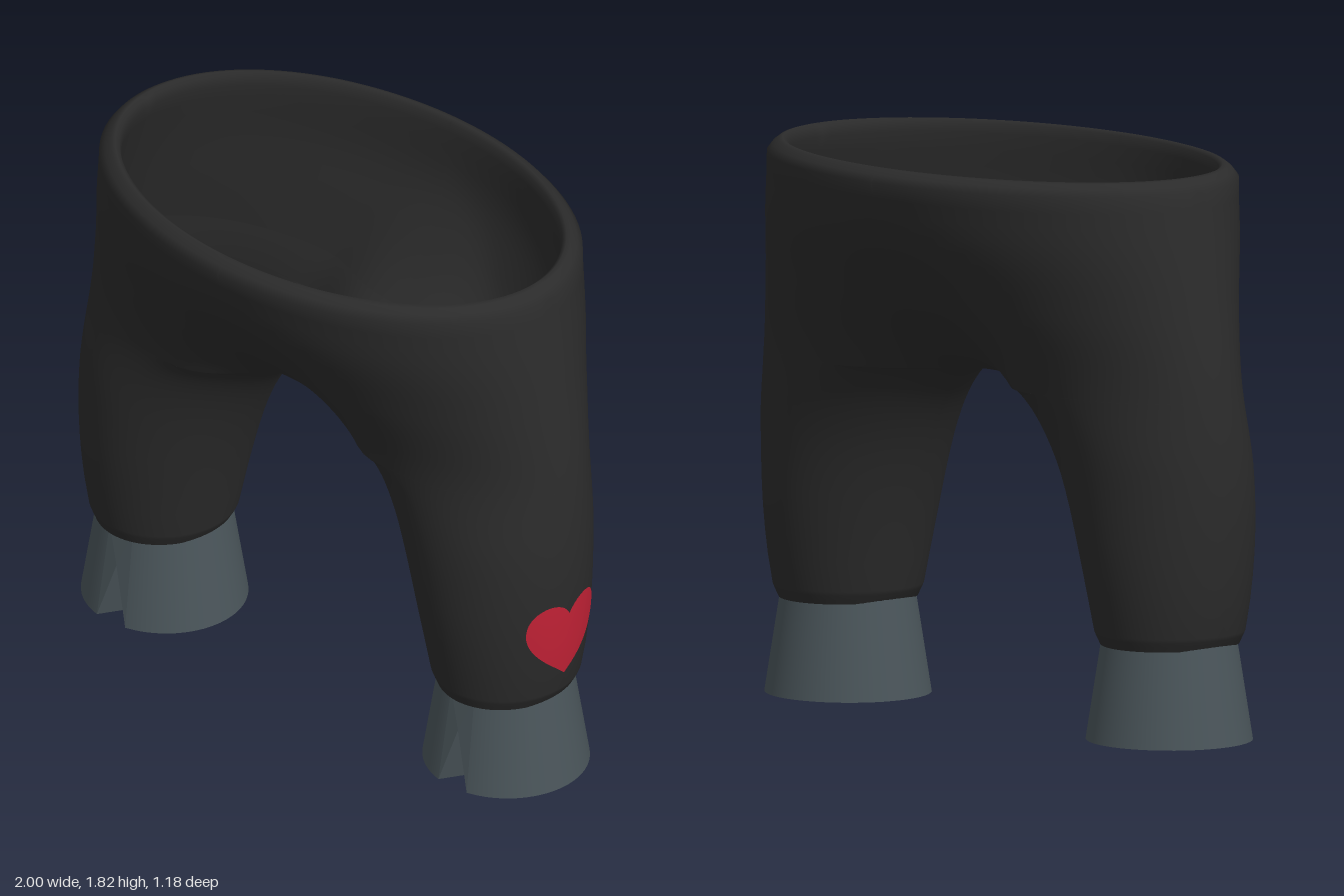
import * as THREE from 'three';
import { mergeVertices } from 'three/addons/utils/BufferGeometryUtils.js';

const cloth = new THREE.MeshStandardMaterial({ color: 0x2b2b2b, side: THREE.DoubleSide });
cloth.name = 'charcoal cloth';
const horn = new THREE.MeshStandardMaterial({ color: 0x4a555a, side: THREE.DoubleSide });
horn.name = 'slate hoof';
const red = new THREE.MeshStandardMaterial({ color: 0xc42236, side: THREE.DoubleSide });
red.name = 'red patch';

// Smooth interpolation through [y, value] pairs
function profile(points) {
  const slope = (i) => {
    const a = points[Math.max(i - 1, 0)], b = points[Math.min(i + 1, points.length - 1)];
    return (b[1] - a[1]) / (b[0] - a[0]);
  };
  return (y) => {
    let i = 0;
    while (i < points.length - 2 && y > points[i + 1][0]) i++;
    const [y0, v0] = points[i], [y1, v1] = points[i + 1], h = y1 - y0;
    const t = THREE.MathUtils.clamp((y - y0) / h, 0, 1), t2 = t * t, t3 = t2 * t;
    return v0 * (2 * t3 - 3 * t2 + 1) + v1 * (3 * t2 - 2 * t3)
      + h * (slope(i) * (t3 - 2 * t2 + t) + slope(i + 1) * (t3 - t2));
  };
}

// Trouser outline: outer width, half depth, depth centre and the arch between the legs
const outer = profile([[0.32, 0.935], [0.37, 0.96], [0.6, 0.99], [0.85, 1], [1.15, 0.98], [1.45, 0.935], [1.78, 0.88]]);
const depth = profile([[0.32, 0.23], [0.37, 0.246], [0.6, 0.275], [0.8, 0.285], [1.05, 0.298], [1.2, 0.335], [1.4, 0.435], [1.6, 0.54], [1.78, 0.588]]);
const centre = profile([[0.32, 0.03], [0.8, 0.025], [1.2, 0.002], [1.78, 0.002]]);
const CROTCH = 1.12, ARCH = 6.6;
const inner = (y) => (y < 0.36 ? 0.486 + (0.36 - y) * 0.6 : Math.cbrt(Math.max(0, CROTCH - y) / ARCH));
const legRadius = (y) => Math.min((outer(y) - inner(y)) / 2, 0.33);
const sideRadius = (y) =>
  THREE.MathUtils.lerp(legRadius(y), outer(y), THREE.MathUtils.smoothstep(y, 0.85, 1.75));
const rounded = (t) => Math.sqrt(Math.max(0, 1 - (1 - THREE.MathUtils.clamp(t, 0, 1)) ** 2));

// Half depth of the cloth at x, y
function halfDepth(x, y, inset) {
  const above = Math.cbrt(Math.max(0, y - CROTCH) / ARCH);
  const dx = y > CROTCH ? Math.hypot(x, above) : Math.max(0, x - inner(y));
  const dy = Math.max(0, y - (CROTCH - ARCH * x ** 3));
  const fromArch = (dx * dy) / (Math.hypot(dx, dy) + 1e-9);
  const fromSide = outer(y) - inset - x;
  return (depth(y) - inset) * rounded(fromArch / legRadius(y)) * rounded(fromSide / (sideRadius(y) - inset));
}

function trouserGeometry() {
  // Rows run up the legs, over the waist rim and down the lining
  const rows = [[0.32, 0], [0.335, 0], [0.35, 0]];
  for (let i = 0; i <= 24; i++) rows.push([CROTCH - ARCH * (0.486 * (1 - i / 24)) ** 3, 0]);
  for (let i = 1; i <= 24; i++) rows.push([CROTCH + 0.66 * (i / 24) ** 2, 0]);
  rows.push([1.803, 0.018], [1.818, 0.038], [1.822, 0.052], [1.812, 0.066]);
  for (let i = 0; i <= 10; i++) rows.push([1.78 - 0.053 * i, 0.072 - 0.0068 * i]);

  const columns = 36, positions = [], indices = [];
  for (const side of [1, -1]) for (const face of [1, -1]) {
    const base = positions.length / 3;
    for (const [y, inset] of rows) {
      const a = inner(y), b = outer(y) - inset;
      for (let k = 0; k <= columns; k++) {
        const x = a + (b - a) * (1 - Math.cos((Math.PI * k) / columns)) / 2;
        const edge = k === columns || (k === 0 && y <= CROTCH);
        positions.push(side * x, y, centre(y) + (edge ? 0 : face * halfDepth(x, y, inset)));
      }
    }
    for (let j = 0; j < rows.length - 1; j++) for (let k = 0; k < columns; k++) {
      const p = base + j * (columns + 1) + k, q = p + columns + 1;
      if (side * face > 0) indices.push(p, p + 1, q + 1, p, q + 1, q);
      else indices.push(p, q + 1, p + 1, p, q, q + 1);
    }
  }
  const geometry = new THREE.BufferGeometry();
  geometry.setAttribute('position', new THREE.Float32BufferAttribute(positions, 3));
  geometry.setIndex(indices);
  const merged = mergeVertices(geometry, 1e-5);
  merged.computeVertexNormals();
  return merged;
}

// Heart laid over the outside of the left leg, as rings that follow the cloth
function heartGeometry() {
  const shape = new THREE.Shape();
  shape.moveTo(0, -0.165);
  shape.bezierCurveTo(0.05, -0.115, 0.147, -0.06, 0.147, 0.03);
  shape.bezierCurveTo(0.147, 0.13, 0.04, 0.145, 0, 0.07);
  shape.bezierCurveTo(-0.04, 0.145, -0.147, 0.13, -0.147, 0.03);
  shape.bezierCurveTo(-0.147, -0.06, -0.05, -0.115, 0, -0.165);
  const outline = shape.getPoints(14), n = outline.length, rings = 8;
  const positions = [], indices = [];
  for (let r = 0; r <= rings; r++) for (const p of outline) {
    const z = 0.04 - (p.x * r) / rings, y = 0.598 + (p.y * r) / rings;
    const radius = sideRadius(y), t = (z - centre(y)) / depth(y);
    positions.push(outer(y) - radius + radius * Math.sqrt(1 - t * t) + 0.006, y, z);
  }
  for (let r = 0; r < rings; r++) for (let i = 0; i < n - 1; i++) {
    const p = r * n + i, q = p + n;
    if (r > 0) indices.push(p, q, p + 1);
    indices.push(p + 1, q, q + 1);
  }
  const geometry = new THREE.BufferGeometry();
  geometry.setAttribute('position', new THREE.Float32BufferAttribute(positions, 3));
  geometry.setIndex(indices);
  geometry.computeVertexNormals();
  return geometry;
}

// Flared hoof with a V-shaped cleft at the front
function createHoof() {
  const hoof = new THREE.Group();
  const top = 0.335, bottom = 0.013, rTop = 0.217, rBottom = 0.268, gap = 0.225, segments = 48;
  const sweep = Math.PI * 2 - gap * 2;
  const add = (name, geometry) => {
    const mesh = new THREE.Mesh(geometry, horn);
    mesh.name = name;
    hoof.add(mesh);
    return mesh;
  };
  add('hoofWall', new THREE.CylinderGeometry(rTop, rBottom, top - bottom, segments, 1, true, gap, sweep))
    .position.y = (top + bottom) / 2;
  const cap = add('hoofTop', new THREE.CircleGeometry(rTop, segments));
  cap.rotation.x = -Math.PI / 2;
  cap.position.y = top;

  const at = (r, angle, y) => [r * Math.sin(angle), y, r * Math.cos(angle)];
  const A = at(rBottom, -gap, bottom), B = at(rBottom, gap, bottom);
  const C = at(rTop, -gap, top), D = at(rTop, gap, top);
  const apex = [0, 0.21, 0.235], fold = [0, bottom, 0.165], middle = [0, 0, 0];
  const triangles = [
    A, apex, C, C, apex, D, D, apex, B,
    A, fold, apex, apex, fold, B,
    middle, B, fold, middle, fold, A,
  ];
  for (let i = 0; i < segments; i++) {
    triangles.push(middle, at(rBottom, gap + (sweep * (i + 1)) / segments, bottom),
      at(rBottom, gap + (sweep * i) / segments, bottom));
  }
  const geometry = new THREE.BufferGeometry();
  geometry.setAttribute('position', new THREE.Float32BufferAttribute(triangles.flat(), 3));
  geometry.computeVertexNormals();
  add('hoofCleftAndSole', geometry);
  return hoof;
}

export function createModel() {
  const model = new THREE.Group();
  model.name = 'hoofedTrousers';

  const trousers = new THREE.Mesh(trouserGeometry(), cloth);
  trousers.name = 'trousers';
  const heart = new THREE.Mesh(heartGeometry(), red);
  heart.name = 'heartPatch';
  model.add(trousers, heart);

  for (const [name, side] of [['leftHoof', 1], ['rightHoof', -1]]) {
    const hoof = createHoof();
    hoof.name = name;
    hoof.position.set(side * 0.722, 0, 0.028);
    hoof.scale.z = 0.98;
    model.add(hoof);
  }
  return model;
}
